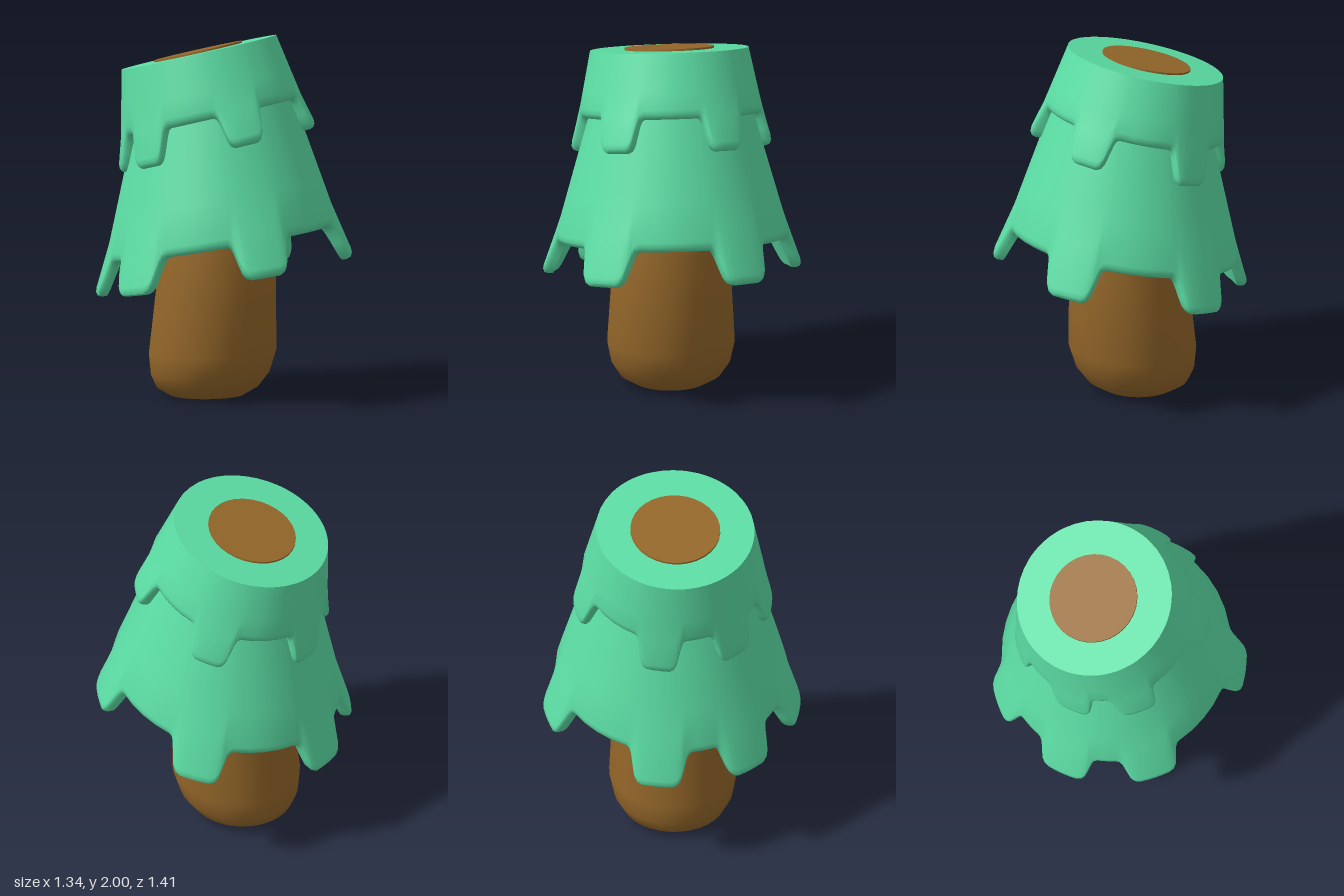
import * as THREE from 'three';
import { toCreasedNormals } from 'three/addons/utils/BufferGeometryUtils.js';

const DEG = Math.PI / 180;
const CENTER_Z = 0.014;
const lerp = THREE.MathUtils.lerp;

// Point on a ring that is centred at (x, y) and tilted sideways
function ringPoint(x, y, tilt, r, angle) {
  const u = r * Math.cos(angle);
  return [x + u * Math.cos(tilt), y + u * Math.sin(tilt), CENTER_Z + r * Math.sin(angle)];
}

// Skin a grid of rows (top to bottom) by columns (around)
function skin(rows, columns, point, crease) {
  const positions = [], index = [];
  for (let i = 0; i < rows; i++)
    for (let j = 0; j < columns; j++) positions.push(...point(i, j));
  for (let i = 0; i < rows - 1; i++)
    for (let j = 0; j < columns; j++) {
      const k = (j + 1) % columns;
      const a = i * columns + j, b = a + columns, c = (i + 1) * columns + k, d = i * columns + k;
      if (i > 0) index.push(a, d, c);
      if (i < rows - 2) index.push(a, c, b);
    }
  const geometry = new THREE.BufferGeometry();
  geometry.setAttribute('position', new THREE.Float32BufferAttribute(positions, 3));
  geometry.setIndex(index);
  return toCreasedNormals(geometry, crease);
}

// Half outline of a hanging tab: [degrees from its middle, share of the drop]
const TAB = [[17, 0], [15.2, 0.05], [13.8, 0.2], [12.2, 0.52], [10.8, 0.8], [9.2, 0.94], [7, 1], [3.5, 1]];
const TAB_ROOT = TAB[0][0];

// Angles around a tier with the drop of the rim at each
function rimColumns(tabAngles) {
  const columns = [];
  tabAngles.forEach((middle, n) => {
    for (const [o, drop] of TAB) columns.push([middle - o, drop]);
    columns.push([middle, 1]);
    for (const [o, drop] of [...TAB].reverse()) columns.push([middle + o, drop]);
    const next = n + 1 < tabAngles.length ? tabAngles[n + 1] : tabAngles[0] + 360;
    const start = middle + TAB_ROOT, end = next - TAB_ROOT;
    for (let k = 1; k < 4; k++) columns.push([lerp(start, end, k / 4), 0]);
  });
  return columns;
}

// Leaning cone with a flat underside, a rounded rim and hanging tabs
function tier({ top, bottom, drop, flare, tabs }) {
  const columns = rimColumns(tabs);
  const length = top.y - bottom.y;
  const at = (v, inset, angle) => {
    const r = lerp(top.r, bottom.r, v) + flare * Math.max(0, v - 1) * length / drop;
    return ringPoint(lerp(top.x, bottom.x, v), lerp(top.y, bottom.y, v),
      lerp(top.tilt, bottom.tilt, v) * DEG, Math.max(0, r - inset), angle);
  };
  // Rim section: [inset, height above the rim]
  const rim = [[0, 0.05], [0.006, 0.026], [0.02, 0.008], [0.04, 0], [0.07, 0]];
  const rows = 5 + rim.length + 2;
  return skin(rows, columns.length, (i, j) => {
    const [degrees, share] = columns[j];
    const angle = degrees * DEG;
    const end = 1 + share * drop / length;
    if (i === 0) return at(0, 10, angle);
    if (i < 5) return at((i - 1) / 4 * (end - 0.08 / length), 0, angle);
    if (i < 5 + rim.length) {
      const [inset, rise] = rim[i - 5];
      return at(end - rise / length, inset, angle);
    }
    return at(1, i === rows - 1 ? 10 : 0.08, angle);
  }, 0.75);
}

// Bent trunk with a rounded foot: [x, y, tilt, radius]
function trunk() {
  const rings = [
    [-0.137, 1.899, 14.6, 0], [-0.137, 1.899, 14.6, 0.246], [-0.06, 1.45, 10, 0.27],
    [-0.008, 0.85, 4, 0.315], [-0.043, 0.245, 2, 0.35], [-0.058, 0.125, 2, 0.326],
    [-0.075, 0.048, 1, 0.279], [-0.08, 0.004, 0.5, 0.205], [-0.08, 0.002, 0, 0],
  ];
  const sides = 32;
  return skin(rings.length, sides, (i, j) => {
    const [x, y, tilt, r] = rings[i];
    return ringPoint(x, y, tilt * DEG, r, j / sides * Math.PI * 2);
  }, 0.7);
}

export function createModel() {
  const leaf = new THREE.MeshStandardMaterial({ color: 0x5cdea5 });
  leaf.name = 'leafGreen';
  const bark = new THREE.MeshStandardMaterial({ color: 0x96682a });
  bark.name = 'barkBrown';

  const model = new THREE.Group();
  model.name = 'leaningTree';
  const add = (name, geometry, material) => {
    const mesh = new THREE.Mesh(geometry, material);
    mesh.name = name;
    model.add(mesh);
  };

  add('trunk', trunk(), bark);
  add('lowerFoliage', tier({
    top: { x: -0.05, y: 1.62, tilt: 15, r: 0.43 },
    bottom: { x: 0.015, y: 0.845, tilt: 11, r: 0.648 },
    drop: 0.185, flare: 0.025,
    tabs: [-98, -30, 40, 106, 149, 194],
  }), leaf);
  add('upperFoliage', tier({
    top: { x: -0.13, y: 1.89, tilt: 14.6, r: 0.434 },
    bottom: { x: -0.05, y: 1.535, tilt: 15, r: 0.508 },
    drop: 0.18, flare: 0.015,
    tabs: [-97, -29, 41, 106, 147, 196],
  }), leaf);
  return model;
}
